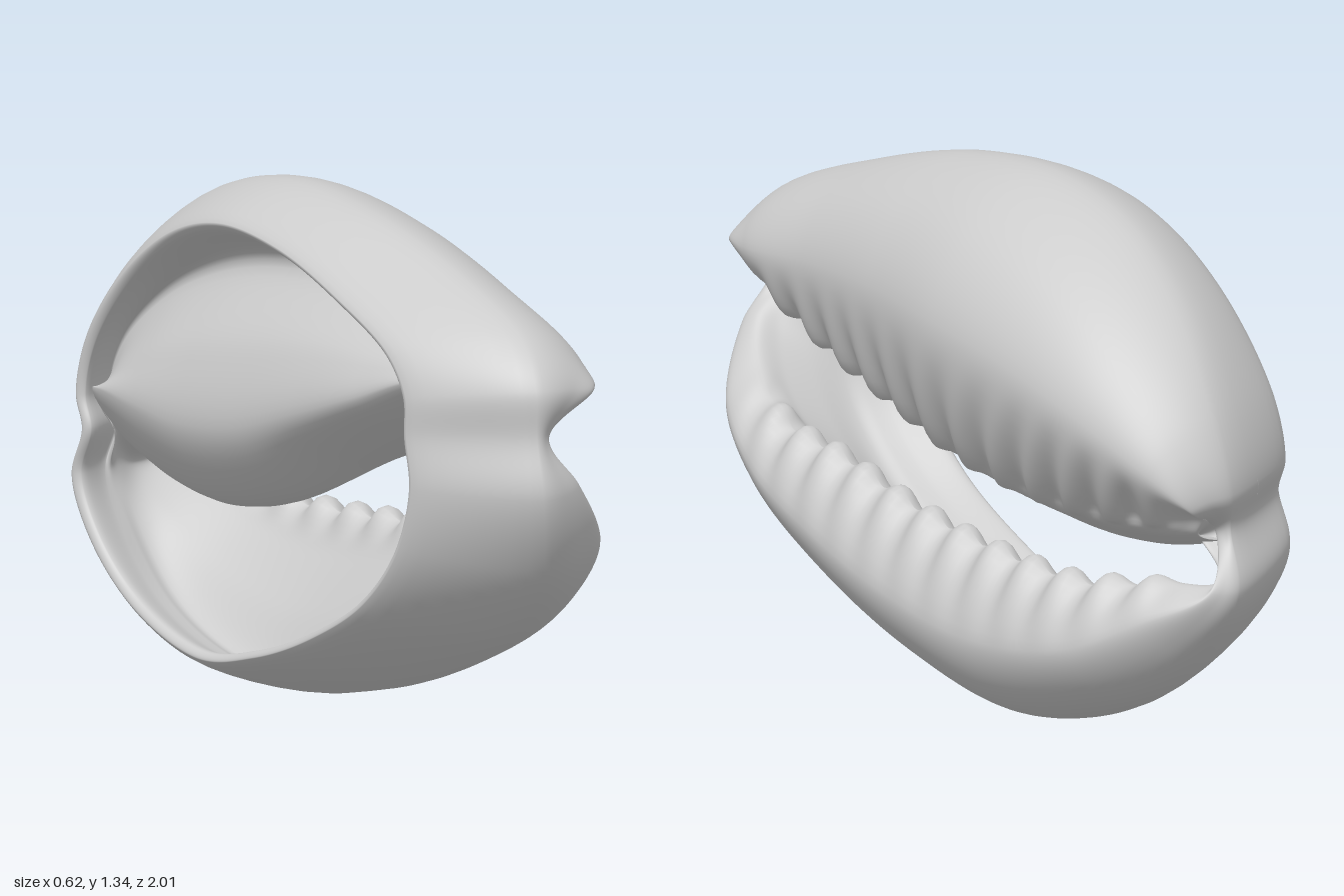
import * as THREE from 'three';

// Stations run round the shell: front canal, over the top, back notch, along the bottom.
// Outer silhouette [z, y]
const OUTLINE = [
  [.97, .87], [.965, .99], [.87, 1.1], [.55, 1.225], [.2, 1.315], [-.15, 1.335], [-.45, 1.26],
  [-.72, 1.09], [-.92, .86], [-.975, .69], [-.94, .59], [-1, .44], [-.9, .27], [-.68, .1],
  [-.3, 0], [.05, .055], [.4, .17], [.72, .33], [.92, .52], [1, .72],
];
// Toothed lip edge of the aperture [z, y]
const LIP = [
  [.92, .86], [.9, .94], [.72, .85], [.5, .77], [.2, .7], [-.1, .64], [-.4, .61],
  [-.65, .61], [-.85, .62], [-.94, .63], [-.87, .57], [-.965, .465], [-.81, .46], [-.62, .43],
  [-.3, .44], [.05, .48], [.38, .545], [.64, .57], [.79, .63], [.92, .76],
];
// Sideways position of the silhouette line and of the lip crest
const OUTLINE_X = [-.08, -.08, -.06, -.06, -.08, -.08, -.08, -.05, 0, 0, -.02, 0, .04, .06, .08, .08, .06, .03, -.03, -.08];
const CREST_X = [-.03, .11, .17, .2, .25, .3, .3, .27, .2, .12, 0, .08, .2, .28, .31, .31, .29, .24, .18, .05];
// Inner whorl: how strongly it bulges, and how far it hangs below the upper lip
const WHORL = [0, .15, .6, .85, .95, 1, 1, .95, .85, .75, .5, .1];
const DROP = [0, 0, 0, 0, .04, .11, .14, .15, .14, .12, .06];

const RAILS = 11, NU = 520, NV = 88;
const mix = (a, b, t) => a.clone().lerp(b, t);
const withX = (p, x) => p.clone().setX(x);
const smooth = THREE.MathUtils.smoothstep;

// Control points of one cross-section, from the back rim over the outside and back inside
function section(i) {
  const [oz, oy] = OUTLINE[i], [lz, ly] = LIP[i], cx = CREST_X[i];
  const outer = new THREE.Vector3(OUTLINE_X[i], oy, oz);
  const lip = new THREE.Vector3(cx > 0 ? cx * .62 : cx - .03, ly, lz);
  const rim = new THREE.Vector3(-.29 - .02 * smooth(-oz, .5, 1), .69 + (oy - .68) * .84, -.04 + oz * .76);
  const rimIn = new THREE.Vector3(rim.x + .015, .69 + (oy - .68) * .81, -.04 + oz * .735);
  const shoulder = withX(mix(outer, lip, .18), THREE.MathUtils.lerp(outer.x, cx, .7));
  const crest = withX(mix(outer, lip, .52), cx);
  // plain inner wall
  const wallMid = withX(mix(rimIn, outer, .35), -.12);
  const wall = [
    mix(lip, wallMid, .3), mix(lip, wallMid, .65), wallMid,
    withX(mix(rimIn, outer, .28), -.16), withX(mix(rimIn, outer, .2), -.2),
  ];
  // rolled inner whorl: throat, underside, lower and upper bulge, groove above it
  const d = DROP[i] || 0, w = WHORL[i] || 0;
  const whorl = [
    new THREE.Vector3(.08, ly - d * .55, lz * .97),
    new THREE.Vector3(-.12, ly - d, lz * .91),
    new THREE.Vector3(-.3, ly + .07, lz * .85),
    withX(mix(lip, outer, .42), -.25).setZ(lz * .86),
    withX(mix(lip, outer, .7), -.09),
  ];
  const inside = wall.map((p, k) => mix(p, whorl[k], w));
  return [rim, outer, shoulder, crest, lip, ...inside, rimIn];
}

function shellGeometry() {
  const sections = OUTLINE.map((_, i) => section(i));
  const rails = [];
  for (let k = 0; k < RAILS; k++) {
    rails.push(new THREE.CatmullRomCurve3(sections.map((s) => s[k]), true, 'centripetal'));
  }
  const positions = [], index = [];
  for (let i = 0; i < NU; i++) {
    const ring = new THREE.CatmullRomCurve3(rails.map((r) => r.getPoint(i / NU)), true, 'centripetal');
    for (let j = 0; j < NV; j++) {
      const p = ring.getPoint(j / NV);
      positions.push(p.x, p.y, p.z);
      const i2 = (i + 1) % NU, j2 = (j + 1) % NV;
      const a = i * NV + j, b = i * NV + j2, c = i2 * NV + j2, e = i2 * NV + j;
      index.push(a, b, e, b, c, e);
    }
  }
  const geo = new THREE.BufferGeometry();
  geo.setAttribute('position', new THREE.Float32BufferAttribute(positions, 3));
  geo.setIndex(index);
  geo.computeVertexNormals();
  addTeeth(geo, rails[4]);
  geo.computeVertexNormals();
  geo.computeBoundingBox();
  const box = geo.boundingBox;
  geo.translate(0, -box.min.y, -(box.min.z + box.max.z) / 2);
  return geo;
}

// Ridges across both lips, pushed out along the normals
function addTeeth(geo, lipRail) {
  const pos = geo.attributes.position, nor = geo.attributes.normal;
  for (let i = 0; i < NU; i++) {
    const lip = lipRail.getPoint(i / NU);
    const upper = i / NU < 10 / 20;
    const along = smooth(lip.z, -.92, -.75) * (1 - smooth(lip.z, .66, .84));
    for (let j = 0; j < NV; j++) {
      const v = j / NV * RAILS, n = i * NV + j;
      const across = smooth(v, upper ? 3.05 : 3, 3.95) * (1 - smooth(v, 4.1, upper ? 4.5 : 4.8));
      if (across * along === 0) continue;
      const slant = upper ? .55 * smooth(-lip.z, -.3, .5) * (pos.getY(n) - lip.y) : 0;
      const wave = Math.cos((pos.getZ(n) + slant) / .137 * Math.PI * 2);
      const h = (upper ? .014 : .018) * across * along * wave;
      pos.setXYZ(n, pos.getX(n) + nor.getX(n) * h, pos.getY(n) + nor.getY(n) * h, pos.getZ(n) + nor.getZ(n) * h);
    }
  }
}

export function createModel() {
  const group = new THREE.Group();
  group.name = 'cowrieShell';
  const shell = new THREE.Mesh(
    shellGeometry(),
    new THREE.MeshStandardMaterial({ color: 0xcccccc, side: THREE.DoubleSide }),
  );
  shell.name = 'shellBody';
  group.add(shell);
  return group;
}
